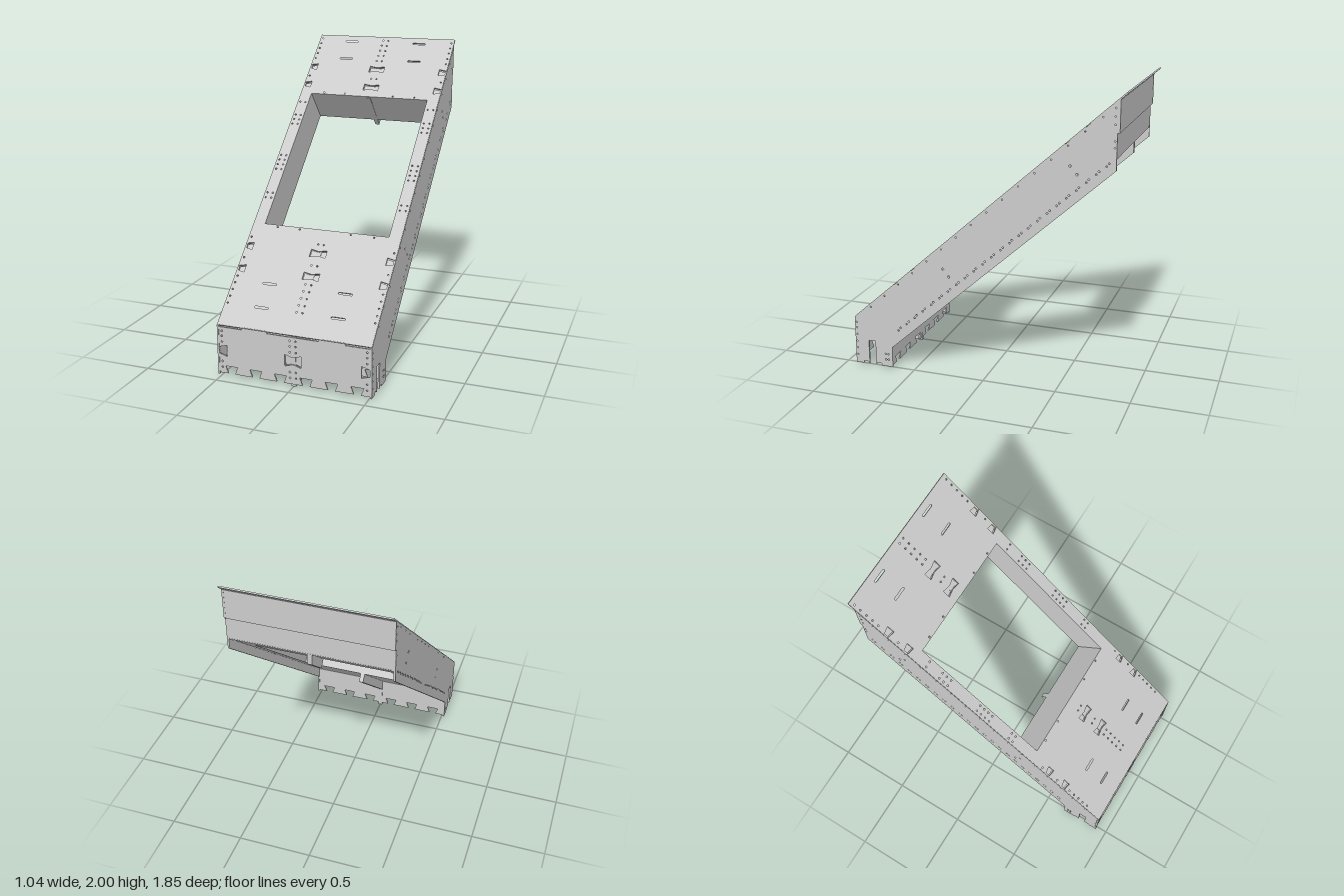
import * as THREE from 'three';

const W = 0.52;                     // half width
const OPEN = [0.437, 0.772, 1.904]; // opening: half width, start and end along the slope
const DEPTH = 0.265;                // depth of the box under the deck
const T = 0.01;                     // sheet thickness
const CLIPS = [0.42, 0.592, 1.99, 2.16];

const mat = new THREE.MeshStandardMaterial({ color: 0xcccccc, flatShading: true });

// flat sheet from an outline and holes, extruded along +z
function sheet(name, outline, holes = [], t = T) {
  const toV = (p) => new THREE.Vector2(p[0], p[1]);
  const shape = new THREE.Shape(outline.map(toV));
  shape.holes = holes.map((h) => new THREE.Path(h.map(toV)));
  const mesh = new THREE.Mesh(new THREE.ExtrudeGeometry(shape, { depth: t, bevelEnabled: false }), mat);
  mesh.name = name;
  return mesh;
}

function box(name, w, h, d, x, y, z) {
  const mesh = new THREE.Mesh(new THREE.BoxGeometry(w, h, d), mat);
  mesh.name = name;
  mesh.position.set(x, y, z);
  return mesh;
}

const mirror = (pts, m) => pts.map(([x, y]) => [x * m, y]);

// small round hole and rounded slit
function dot(x, y, r = 0.006) {
  return Array.from({ length: 8 }, (_, i) => [x + r * Math.cos(i * Math.PI / 4), y + r * Math.sin(i * Math.PI / 4)]);
}
function slit(x, y, w = 0.05, h = 0.007) {
  return [[x - w, y], [x - w + h, y - h], [x + w - h, y - h], [x + w, y], [x + w - h, y + h], [x - w + h, y + h]];
}

// half of a bow-tie, listed upwards, widening in direction dir
function notch(x, y, dir, k = 1) {
  return [[x, y - 0.016 * k], [x + dir * 0.055, y - 0.028 * k], [x + dir * 0.055, y + 0.028 * k], [x, y + 0.016 * k]];
}
const inner = (y, k) => notch(0, y, 1, k).reverse();
const opening = [[0, OPEN[2]], [OPEN[0], OPEN[2]], [OPEN[0], OPEN[1]], [0, OPEN[1]]];

// sloped deck half with bow-tie notches, lifting slits and rivet holes
function deckHalf(m) {
  const end = 2.475;
  const outline = [
    [0, 0], [W, 0], ...CLIPS.flatMap((s) => notch(W, s, -1)), [W, end], [0, end],
    ...inner(CLIPS[3]), ...inner(CLIPS[2]), ...opening, ...inner(CLIPS[1]), ...inner(CLIPS[0]),
  ];
  const holes = [0.157, 0.33, 2.25, 2.42].map((s) => slit(0.26, s));
  for (const s of [0.16, 0.21, 0.26, 0.31, 0.36, 0.5, 0.66, 2.07, 2.24, 2.29, 2.34, 2.39, 2.44]) {
    holes.push(dot(0.02, s), dot(W - 0.02, s));
  }
  for (const s of [0.98, 1.02, 1.22, 1.26, 1.3, 1.34, 1.62, 1.66, 1.7, 1.82]) {
    holes.push(dot(0.46, s), dot(W - 0.02, s));
  }
  for (const x of [0.18, 0.34]) holes.push(dot(x, OPEN[1] - 0.015), dot(x, OPEN[2] + 0.015));
  const mesh = sheet('deckHalf', mirror(outline, m), holes.map((h) => mirror(h, m)));
  mesh.position.z = -T;
  return mesh;
}

// floor half under the box
function floorHalf(m) {
  const outline = [[0, 0.118], [0.51, 0.118], [0.51, 2.166], [0, 2.166], ...opening];
  const mesh = sheet('floorHalf', mirror(outline, m));
  mesh.position.z = -DEPTH;
  return mesh;
}

// upright half panel with dovetail gaps along its foot
function footPanel(name, m, top, z, front) {
  const comb = [0.087, 0.257, 0.427].flatMap((c) => [[c - 0.024, 0.02], [c - 0.042, 0.07], [c + 0.042, 0.07], [c + 0.024, 0.02]]);
  const outline = [[0, 0.02], ...comb, [W - 0.01, 0.02]];
  const holes = [];
  if (front) {
    outline.push(...notch(W - 0.01, 0.175, -1, 1.4), [W - 0.01, top], [0.35, top], [0.35, top + 0.018], [0.175, top + 0.018], [0.175, top], [0, top], ...inner(0.175, 1.4));
    for (const y of [0.06, 0.1, 0.235, 0.275, 0.31]) holes.push(dot(0.02, y), dot(W - 0.03, y));
  } else outline.push([W - 0.01, top], [0, top]);
  const mesh = sheet(name, mirror(outline, m), holes.map((h) => mirror(h, m)));
  mesh.position.z = z;
  return mesh;
}

// sheet standing in the z-y plane, given as [z, y] points and its lowest x
function upright(name, pts, x, t, holes = []) {
  const flip = (list) => list.map(([z, y]) => [-z, y]);
  const mesh = sheet(name, flip(pts), holes.map(flip), t);
  mesh.rotation.y = Math.PI / 2;
  mesh.position.x = x;
  return mesh;
}

const foot = (y) => [[0.65, y], [0.73, y], [0.735, y + 0.015], [0.765, y + 0.015], [0.775, y], [0.775, 0.185], [0.825, 0.185], [0.825, y], [0.835, y + 0.015], [0.865, y + 0.015], [0.87, y]];

function sidePanel(x) {
  const outline = [[0.925, 0.01], [0.925, 0.346], [-0.88, 1.958], [-0.88, 1.75], [-0.865, 1.75], [-0.865, 1.52], [0.65, 0.155], ...foot(0.01)];
  const holes = [];
  // paired rivets along the floor line
  for (let i = 0; i < 24; i++) {
    const z = 0.59 - i * 0.061, y = 0.3 + i * 0.0545;
    holes.push(dot(z + 0.008, y - 0.01), dot(z - 0.008, y + 0.01));
  }
  // rivets along the deck edge, the cross walls and the uprights
  for (let i = 0; i < 16; i++) holes.push(dot(0.8 - i * 0.105, 0.435 + i * 0.0938, 0.005));
  for (const [z, y] of [[0.265, 0.77], [0.225, 0.72], [-0.58, 1.53], [-0.625, 1.48]]) holes.push(dot(z, y, 0.008));
  for (const y of [0.06, 0.1]) holes.push(dot(0.68, y), dot(0.7, y));
  for (const y of [0.07, 0.12, 0.17, 0.22, 0.27, 0.31]) holes.push(dot(0.912, y, 0.005));
  for (const y of [1.66, 1.7, 1.8, 1.85, 1.9]) holes.push(dot(-0.852, y, 0.005));
  return upright('sidePanel', outline, x, 0.012, holes);
}

export function createModel() {
  const model = new THREE.Group();
  model.name = 'slopedFrame';

  // sloped box: local y runs up the slope, local z points out of the deck
  const slope = new THREE.Group();
  slope.name = 'slopedBox';
  slope.position.set(0, 0.35, 0.925);
  slope.rotation.x = -Math.atan2(0.745, 0.667);
  model.add(slope);

  const [ow, s0, s1] = OPEN;
  for (const m of [-1, 1]) {
    slope.add(deckHalf(m), floorHalf(m));
    slope.add(box('openingSideWall', T, s1 - s0, DEPTH - T, m * (ow + T / 2), (s0 + s1) / 2, -(DEPTH + T) / 2));
    // recessed half bow-tie clips at the seam and at the edge
    for (const s of CLIPS) {
      for (const [x, dir] of [[0, 1], [W - 0.01, -1]]) {
        const clip = sheet('bowTieClip', mirror(notch(x, s, dir), m), [], 0.006);
        clip.position.z = -0.022;
        slope.add(clip);
      }
    }
    model.add(footPanel('frontPanel', m, 0.335, 0.912, true));
    model.add(footPanel('rearFootPanel', m, 0.236, 0.652, false));
    const frontClip = sheet('frontClip', mirror(notch(0, 0.175, 1, 1.4), m), [], 0.006);
    frontClip.position.z = 0.9;
    model.add(frontClip);
    model.add(sidePanel(m > 0 ? 0.51 : -0.522));
  }
  slope.add(box('lowerOpeningWall', 1.02, T, DEPTH - T, 0, s0 - T / 2, -(DEPTH + T) / 2));
  slope.add(box('upperOpeningWall', 1.02, T, DEPTH - T, 0, s1 + T / 2, -(DEPTH + T) / 2));

  // back panels, the upper one stepped slightly outwards
  model.add(box('upperBackPanel', 1.02, 0.2, T, 0, 1.85, -0.874));
  model.add(box('lowerBackPanel', 1.02, 0.17, T, 0, 1.675, -0.86));

  // centre ribs below and above the opening
  const lower = [[0.91, 0.0], [0.91, 0.345], [0.355, 0.845], [0.135, 0.62], [0.65, 0.155], ...foot(0.0)];
  const upper = [[-0.5, 1.605], [-0.71, 1.38], [-0.865, 1.52], [-0.865, 1.935]];
  model.add(upright('lowerRib', lower, -0.015, 0.03), upright('upperRib', upper, -0.015, 0.03));
  return model;
}
